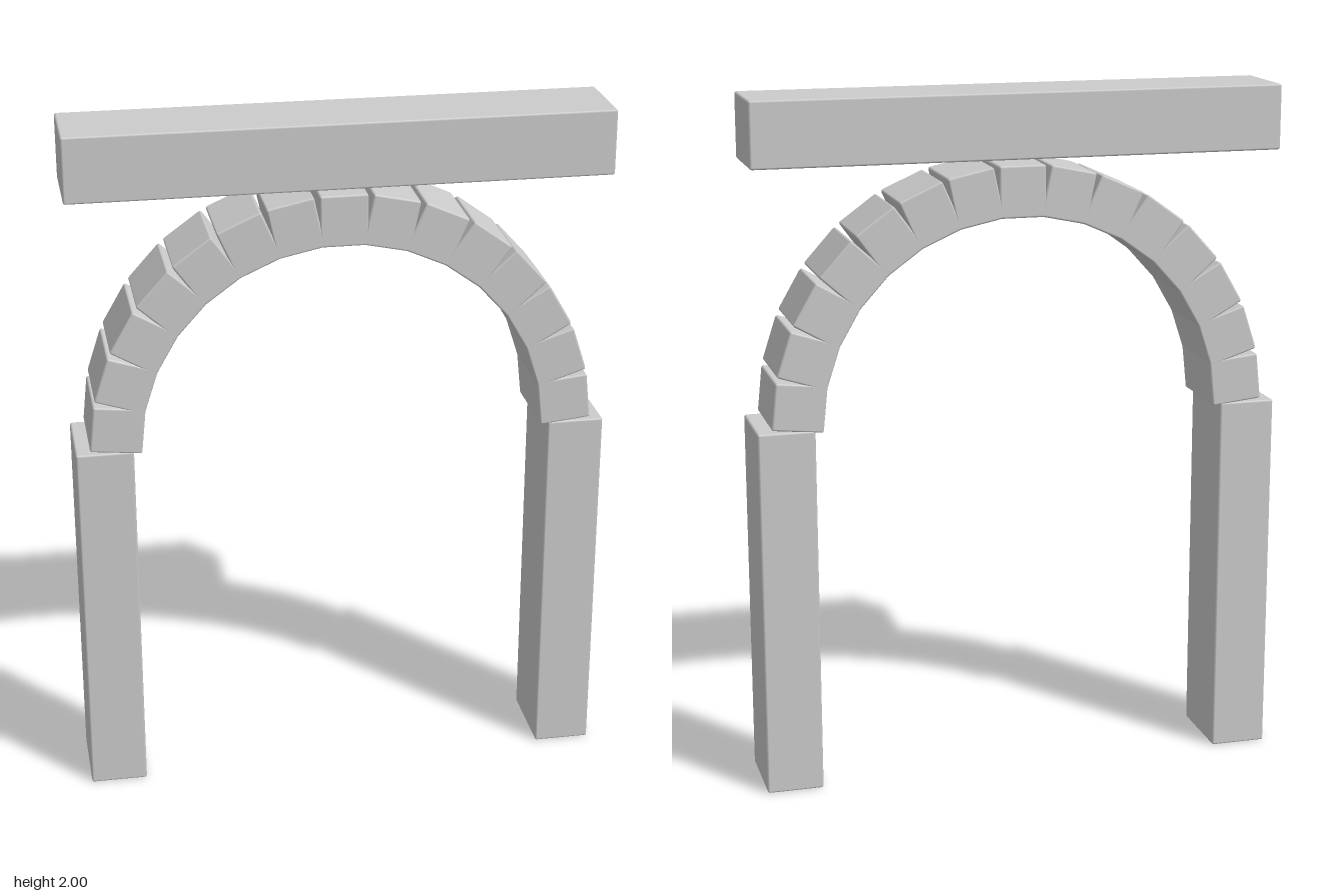
import * as THREE from 'three';
import { RoundedBoxGeometry } from 'three/addons/geometries/RoundedBoxGeometry.js';

const DEPTH = 0.244;
const BEVEL = 0.006;

export function createModel() {
  const group = new THREE.Group();
  const material = new THREE.MeshStandardMaterial({ color: 0xcccccc });

  // Stone block with finely eased edges
  function block(name, width, height, x, y, turn = 0) {
    const geometry = new RoundedBoxGeometry(width, height, DEPTH, 1, BEVEL);
    const mesh = new THREE.Mesh(geometry, material);
    mesh.name = name;
    mesh.position.set(x, y, 0);
    mesh.rotation.z = turn;
    group.add(mesh);
  }

  // Pillars
  const pillarHeight = 1.075;
  block('leftPillar', 0.164, pillarHeight, 0.683, pillarHeight / 2);
  block('rightPillar', 0.164, pillarHeight, -0.683, pillarHeight / 2);

  // Arch: straight blocks set around a half circle, open at the outer joints
  const count = 15;
  const radius = 0.648;
  const step = Math.PI / count;
  for (let i = 0; i < count; i++) {
    const angle = (i - (count - 1) / 2) * step;
    block(`archStone${i + 1}`, radius * step, 0.148,
      radius * Math.sin(angle), pillarHeight + radius * Math.cos(angle), -angle);
  }

  // Lintel above the arch
  block('lintel', 1.53, 0.187, 0, 1.9065);

  return group;
}
